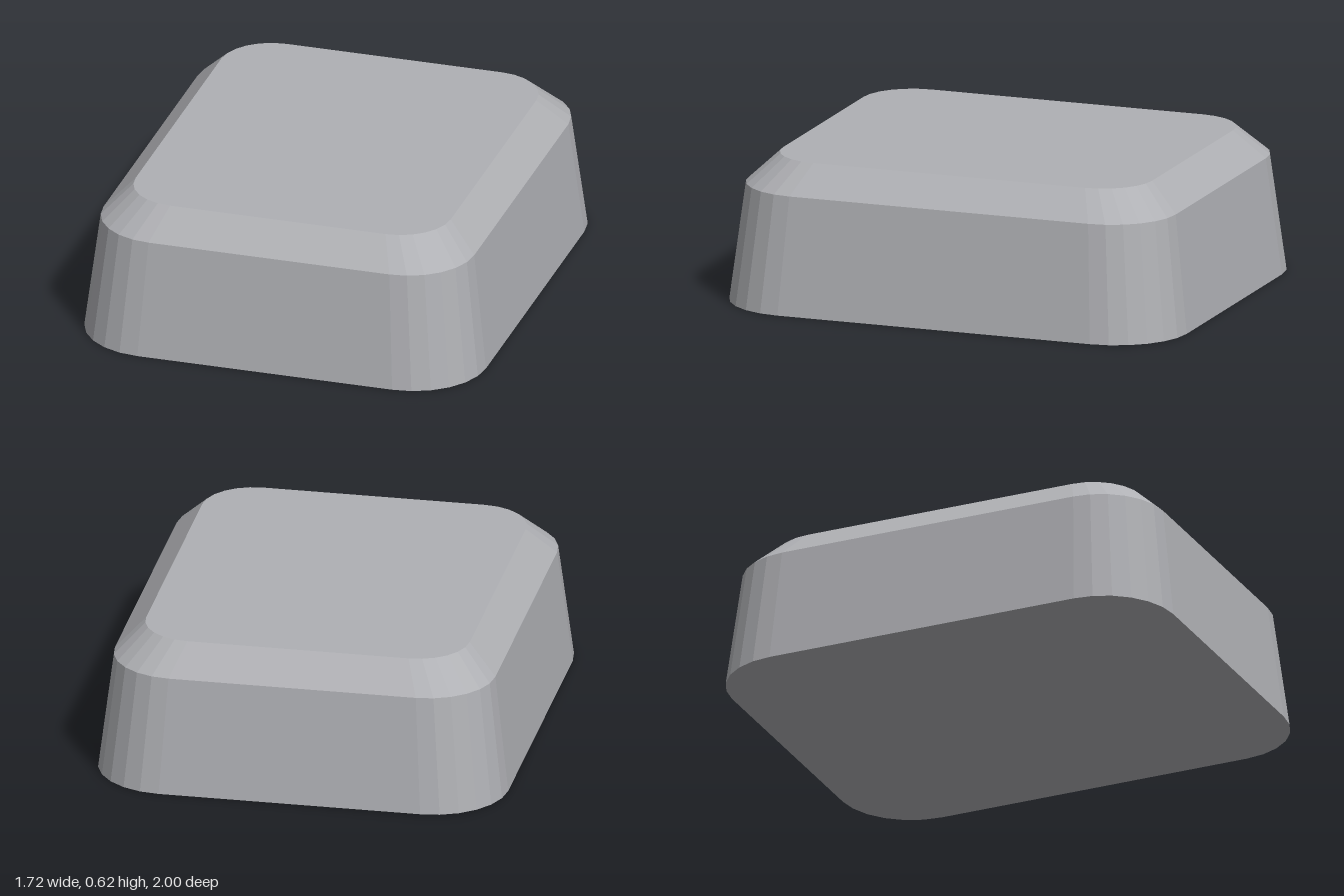
import * as THREE from 'three';

const CORNER_STEPS = 6;

// Rounded rectangle ring at height y, walked from +x towards +z
function ring(y, halfX, halfZ, r) {
  const points = [];
  for (let c = 0; c < 4; c++) {
    const sx = c === 0 || c === 3 ? 1 : -1;
    const sz = c < 2 ? 1 : -1;
    for (let i = 0; i <= CORNER_STEPS; i++) {
      const a = (c + i / CORNER_STEPS) * Math.PI / 2;
      points.push(new THREE.Vector3(
        sx * (halfX - r) + r * Math.cos(a), y, sz * (halfZ - r) + r * Math.sin(a)));
    }
  }
  return points;
}

function fromTriangles(points) {
  const geometry = new THREE.BufferGeometry().setFromPoints(points);
  geometry.computeVertexNormals(); // unshared corners give flat facets
  return geometry;
}

// Sloping wall between two rings
function band(lower, upper) {
  const tris = [];
  lower.forEach((a, i) => {
    const j = (i + 1) % lower.length;
    tris.push(a, upper[i], lower[j], lower[j], upper[i], upper[j]);
  });
  return fromTriangles(tris);
}

// Flat cover over a ring
function cap(points, up) {
  const centre = new THREE.Vector3(0, points[0].y, 0);
  const tris = [];
  points.forEach((a, i) => {
    const b = points[(i + 1) % points.length];
    tris.push(centre, up ? b : a, up ? a : b);
  });
  return fromTriangles(tris);
}

export function createModel() {
  const grey = new THREE.MeshStandardMaterial({ color: 0xafb0b4 });
  grey.name = 'grey';

  const base = ring(0, 0.86, 1, 0.31);
  const shoulder = ring(0.495, 0.8, 0.94, 0.28);
  const top = ring(0.615, 0.68, 0.815, 0.215);

  const group = new THREE.Group();
  group.name = 'taperedBlock';
  const add = (name, geometry) => {
    const mesh = new THREE.Mesh(geometry, grey);
    mesh.name = name;
    group.add(mesh);
  };
  add('sideWall', band(base, shoulder));
  add('bevel', band(shoulder, top));
  add('topFace', cap(top, true));
  add('bottomFace', cap(base, false));
  return group;
}
